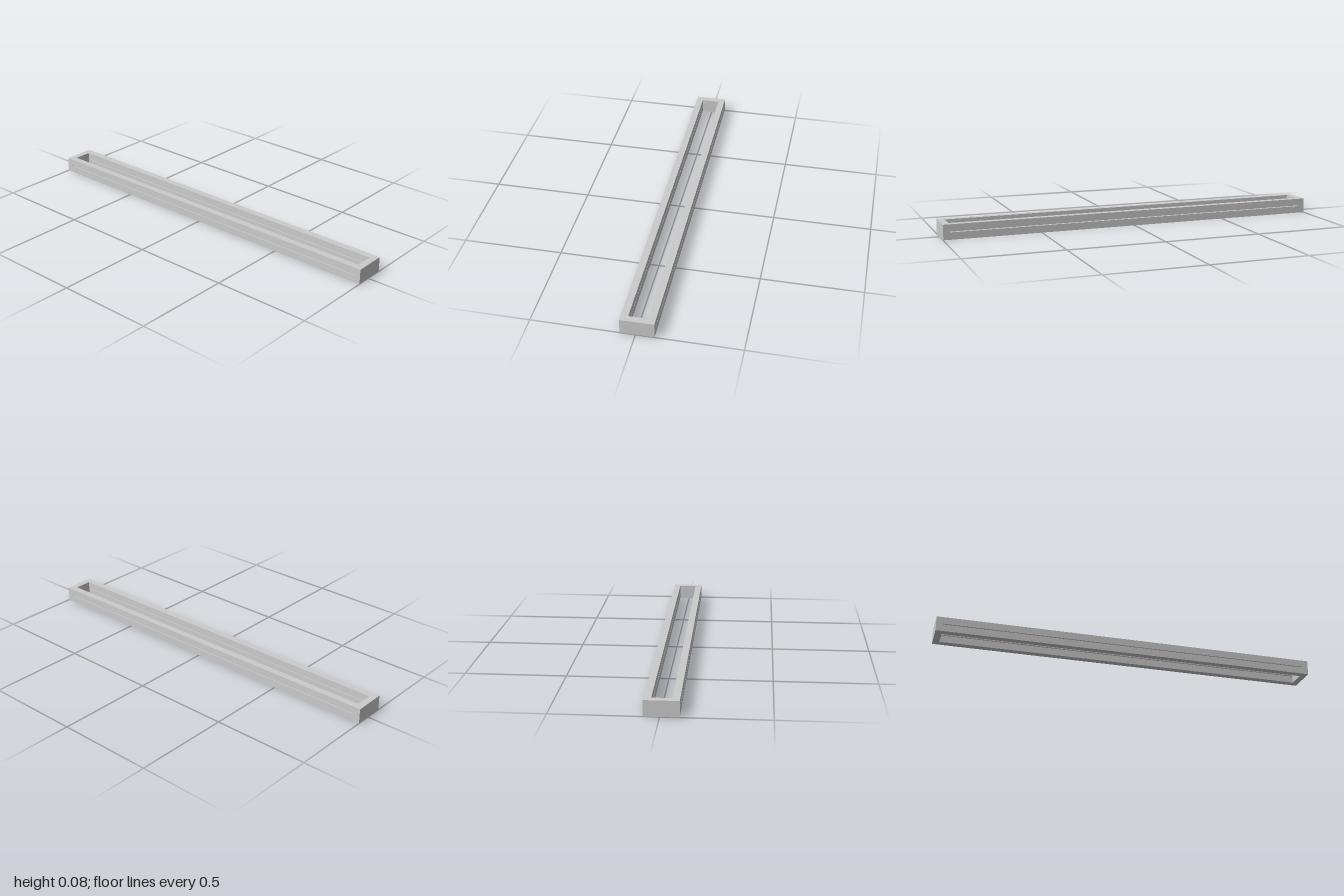
import * as THREE from 'three';

const W = 0.163, H = 0.077, L = 1.9988;   // outer size of the frame
const WALL = 0.035, END = 0.034;          // wall thicknesses
const SLOT = 0.0035;                      // slot height
const material = new THREE.MeshStandardMaterial({ color: 0xcccccc, flatShading: true });

// Rectangle centred on the origin, as a path or shape
function rect(target, w, h) {
  target.moveTo(-w / 2, -h / 2).lineTo(w / 2, -h / 2).lineTo(w / 2, h / 2).lineTo(-w / 2, h / 2);
  target.closePath();
  return target;
}

export function createModel() {
  const group = new THREE.Group();
  group.name = 'slottedFrame';

  // Long side wall, with a thin slot cut right through it
  const shape = rect(new THREE.Shape(), L, H);
  shape.holes.push(rect(new THREE.Path(), L - 2 * END, SLOT));
  const sideGeo = new THREE.ExtrudeGeometry(shape, { depth: WALL, bevelEnabled: false });
  sideGeo.translate(0, 0, -WALL / 2).rotateY(Math.PI / 2);

  // Short end block between the two walls
  const endGeo = new THREE.BoxGeometry(W - 2 * WALL, H, END);

  for (const s of [1, -1]) {
    const side = new THREE.Mesh(sideGeo, material);
    side.name = s > 0 ? 'leftWall' : 'rightWall';
    side.position.set(s * (W - WALL) / 2, H / 2, 0);
    const end = new THREE.Mesh(endGeo, material);
    end.name = s > 0 ? 'frontEnd' : 'backEnd';
    end.position.set(0, H / 2, s * (L - END) / 2);
    group.add(side, end);
  }

  // The whole frame sits at a very slight angle
  group.rotation.y = 0.0075;
  return group;
}
